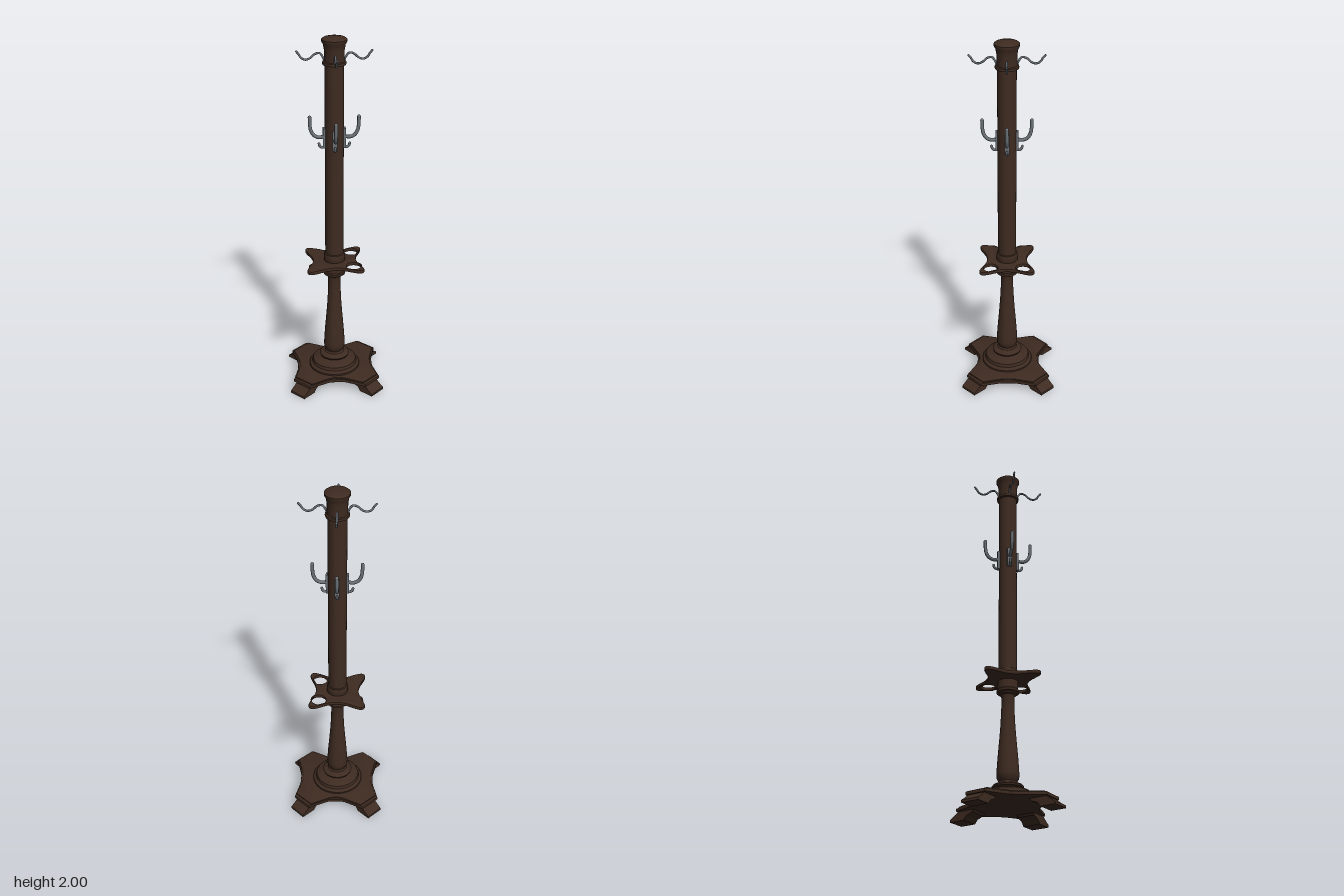
import * as THREE from 'three';
import { toCreasedNormals } from 'three/addons/utils/BufferGeometryUtils.js';

const wood = new THREE.MeshStandardMaterial({ color: 0x3e2b21 });
wood.name = 'dark wood';
const metal = new THREE.MeshStandardMaterial({ color: 0x6a7177 });
metal.name = 'grey metal';

function add(parent, name, geometry, material) {
  const mesh = new THREE.Mesh(geometry, material);
  mesh.name = name;
  parent.add(mesh);
  return mesh;
}

// Turned part from [radius, height] pairs, listed from bottom to top
function turned(points) {
  const profile = points.map(([r, y]) => new THREE.Vector2(r, y));
  return toCreasedNormals(new THREE.LatheGeometry(profile, 40), 0.6);
}

// Flat horizontal slab with a small bevel, from y0 to y1
function slab(shape, y0, y1, bevel) {
  const g = new THREE.ExtrudeGeometry(shape, {
    depth: y1 - y0 - 2 * bevel, bevelEnabled: true, bevelThickness: bevel,
    bevelSize: bevel, bevelOffset: -bevel, bevelSegments: 2, curveSegments: 24,
  });
  g.rotateX(-Math.PI / 2);
  g.translate(0, y0 + bevel, 0);
  return toCreasedNormals(g, 0.6);
}

// Four-cornered star outline with cut corners and softly curved waists
function baseOutline(inset) {
  const quarter = [[0.213, 0.03], [0.217, 0.055], [0.241, 0.153], [0.155, 0.234], [0.05, 0.182], [0.03, 0.177]];
  const all = [];
  for (const [sx, sy] of [[1, 1], [-1, 1], [-1, -1], [1, -1]]) {
    const pts = quarter.map(([x, y]) => new THREE.Vector2(sx * (x - inset), sy * (y - inset)));
    all.push(...(sx * sy > 0 ? pts : pts.reverse()));
  }
  return new THREE.Shape(all);
}

// Umbrella shelf: rounded corner lobes, concave sides, four round holes
function shelfOutline(inset, holeRadius) {
  const quarter = [[0.118, 0], [0.126, 0.045], [0.15, 0.105], [0.154, 0.135], [0.137, 0.15], [0.105, 0.143], [0.05, 0.118]];
  const pts = [];
  const place = (sx, sy, list) => list.forEach(([x, y]) => pts.push(new THREE.Vector2(sx * (x - inset), sy * Math.max(0, y - (y ? inset : 0)))));
  const back = quarter.slice(1).reverse();
  place(1, 1, quarter);
  pts.push(new THREE.Vector2(0, 0.11 - inset));
  place(-1, 1, back);
  place(-1, -1, quarter);
  pts.push(new THREE.Vector2(0, -0.11 + inset));
  place(1, -1, back);
  const curve = new THREE.SplineCurve([...pts, pts[0]]);
  const shape = new THREE.Shape(curve.getPoints(112).slice(0, -1));
  for (const sx of [-1, 1]) for (const sy of [-1, 1]) {
    const hole = new THREE.Path();
    hole.absarc(sx * 0.1, sy * 0.088, holeRadius, 0, Math.PI * 2, true);
    shape.holes.push(hole);
  }
  return shape;
}

// Round bar along [distance, height] points, with a ball on the tip
function bar(parent, name, points, radius) {
  const path = points.map(([x, y]) => new THREE.Vector3(x, y, 0));
  add(parent, name, new THREE.TubeGeometry(new THREE.CatmullRomCurve3(path), 36, radius, 10), metal);
  add(parent, name + 'Tip', new THREE.SphereGeometry(radius, 12, 8), metal).position.copy(path.at(-1));
}

export function createModel() {
  const model = new THREE.Group();
  model.name = 'coatStand';

  // Base plate in two tiers
  add(model, 'basePlate', slab(baseOutline(0), 0.048, 0.066, 0.003), wood);
  add(model, 'basePlateTop', slab(baseOutline(0.011), 0.064, 0.073, 0.003), wood);

  // Four wedge feet under the corners
  const footProfile = new THREE.Shape([
    [0.17, 0.05], [0.178, 0.036], [0.215, 0.022], [0.232, 0], [0.318, 0],
    [0.318, 0.013], [0.29, 0.031], [0.265, 0.05],
  ].map(([x, y]) => new THREE.Vector2(x, y)));
  const footGeometry = new THREE.ExtrudeGeometry(footProfile, { depth: 0.101, bevelEnabled: false });
  footGeometry.translate(0, 0, -0.0505);
  for (let i = 0; i < 4; i++) {
    add(model, 'foot', footGeometry, wood).rotation.y = Math.PI / 4 + i * Math.PI / 2;
  }

  // Everything on the turned post
  const post = new THREE.Group();
  post.name = 'post';
  post.position.set(-0.003, 0, 0.006);
  model.add(post);

  add(post, 'roundPlinth', turned([
    [0, 0.06], [0.142, 0.06], [0.142, 0.082], [0.136, 0.09], [0.126, 0.094], [0.122, 0.112],
    [0.112, 0.12], [0.08, 0.124], [0.068, 0.132], [0.08, 0.138], [0.083, 0.147], [0.076, 0.155],
    [0.055, 0.162], [0.048, 0.172], [0, 0.172],
  ]), wood);
  add(post, 'turnedStem', turned([
    [0.045, 0.165], [0.05, 0.178], [0.057, 0.19], [0.059, 0.21], [0.057, 0.25], [0.052, 0.32],
    [0.045, 0.4], [0.039, 0.48], [0.035, 0.56], [0.034, 0.63], [0.037, 0.645], [0.046, 0.65],
    [0.046, 0.657], [0.06, 0.66], [0.06, 0.672], [0.055, 0.677], [0.055, 0.725],
  ]), wood);
  add(post, 'shelf', slab(shelfOutline(0, 0.039), 0.723, 0.744, 0.006), wood);
  add(post, 'shelfCollar', turned([
    [0.055, 0.735], [0.058, 0.74], [0.058, 0.775], [0.055, 0.785], [0.048, 0.79],
  ]), wood);
  add(post, 'upperColumn', turned([[0.05, 0.78], [0.05, 1.87]]), wood);
  add(post, 'cap', turned([
    [0.048, 1.852], [0.061, 1.854], [0.063, 1.861], [0.061, 1.868], [0.053, 1.871], [0.053, 1.93],
    [0.056, 1.945], [0.058, 1.958], [0.066, 1.972], [0.066, 1.984], [0.058, 1.99], [0.03, 1.997], [0, 2],
  ]), wood);

  // Four sets of hooks, one on each side
  for (let i = 0; i < 4; i++) {
    const hooks = new THREE.Group();
    hooks.name = 'hookSet';
    hooks.rotation.y = i * Math.PI / 2;
    post.add(hooks);

    bar(hooks, 'waveHook', [
      [0.05, 1.868], [0.059, 1.892], [0.076, 1.912], [0.1, 1.907], [0.123, 1.887],
      [0.147, 1.879], [0.17, 1.89], [0.181, 1.908], [0.193, 1.922],
    ], 0.0055);

    const plate = add(hooks, 'hookPlate', new THREE.BoxGeometry(0.016, 0.11, 0.026), metal);
    plate.position.set(0.052, 1.455, 0);
    bar(hooks, 'largeHook', [
      [0.05, 1.463], [0.085, 1.46], [0.108, 1.472], [0.123, 1.498], [0.128, 1.53], [0.129, 1.57],
    ], 0.0095);
    bar(hooks, 'smallHook', [
      [0.05, 1.405], [0.064, 1.403], [0.076, 1.41], [0.081, 1.424],
    ], 0.007);
  }

  return model;
}
